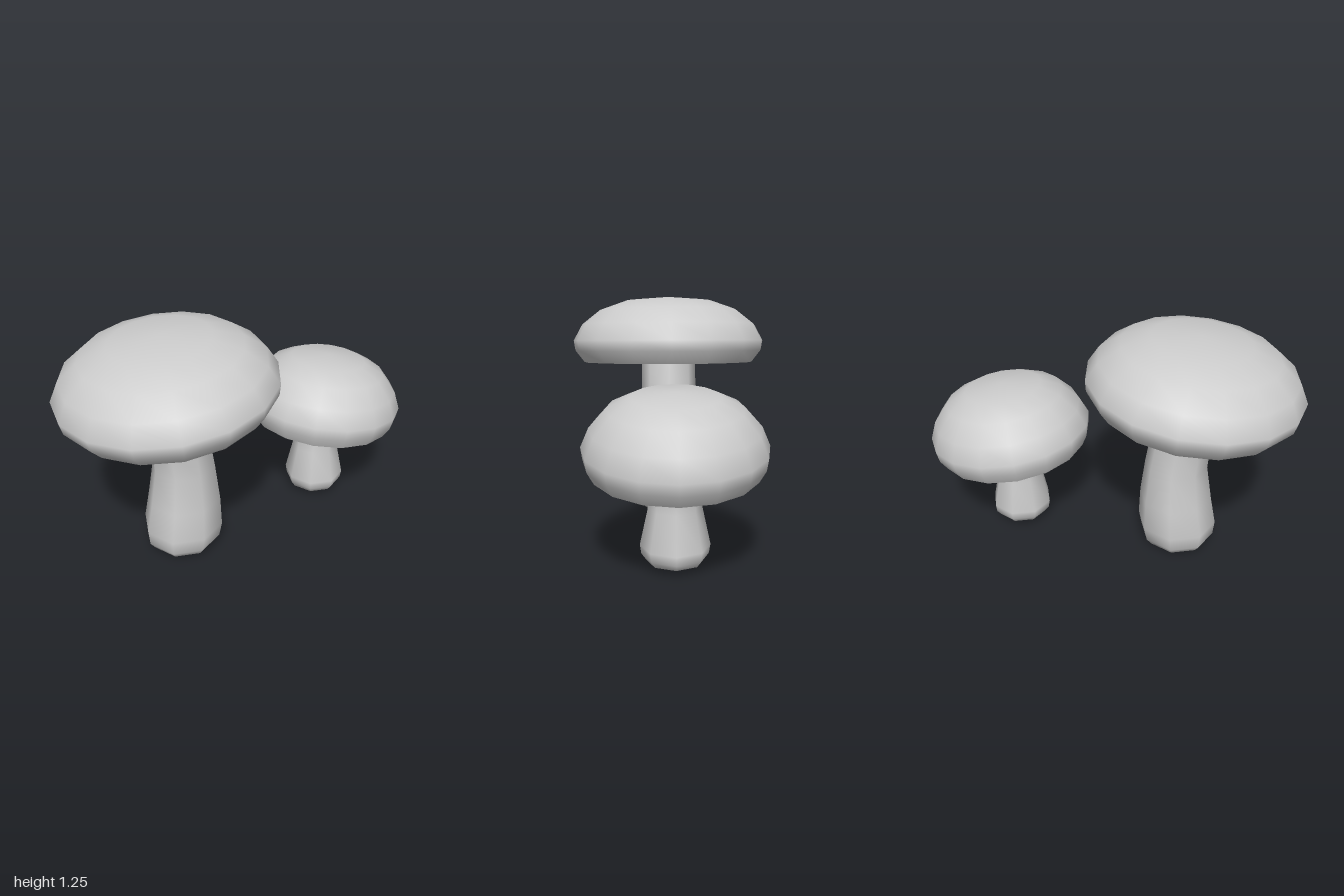
import * as THREE from 'three';
import { mergeVertices } from 'three/addons/utils/BufferGeometryUtils.js';

const light = new THREE.MeshStandardMaterial({ color: 0xcccccc });
light.name = 'pale grey';
const dark = new THREE.MeshStandardMaterial({ color: 0x2b2b2b });
dark.name = 'dark gills';

// Turned shape; optional third value of a point shifts that ring sideways.
function turned(name, points, sides, material) {
  let geo = new THREE.LatheGeometry(points.map(([r, y]) => new THREE.Vector2(r, y)), sides);
  const pos = geo.attributes.position;
  for (let i = 0; i < pos.count; i++) {
    pos.setX(i, pos.getX(i) + (points[i % points.length][2] || 0));
  }
  geo.deleteAttribute('uv');
  geo.deleteAttribute('normal');
  geo = mergeVertices(geo, 1e-4);
  geo.computeVertexNormals();
  const mesh = new THREE.Mesh(geo, material);
  mesh.name = name;
  return mesh;
}

function mushroom(name, { stem, cap, gills, x, y, tilt }) {
  const group = new THREE.Group();
  group.name = name;
  group.add(turned('stem', stem, 8, light));

  // Tilted cap with its separate underside
  const head = new THREE.Group();
  head.name = 'cap';
  head.position.set(x, y, 0);
  head.rotation.z = THREE.MathUtils.degToRad(tilt);
  head.add(turned('capTop', cap, 16, light), turned('gills', gills, 16, dark));
  group.add(head);
  return group;
}

export function createModel() {
  const model = new THREE.Group();
  model.name = 'mushrooms';

  model.add(mushroom('largeMushroom', {
    x: -0.435, y: 0.877, tilt: 5.5,
    // radius, height, sideways centre
    stem: [[0, 0.003, -0.4], [0.13, 0.005, -0.4], [0.175, 0.02, -0.4], [0.204, 0.06, -0.4],
      [0.216, 0.14, -0.395], [0.197, 0.3, -0.381], [0.168, 0.5, -0.375], [0.159, 0.68, -0.394],
      [0.157, 0.87, -0.437], [0.15, 0.94, -0.44]],
    cap: [[0.495, 0], [0.547, 0.067], [0.557, 0.125], [0.505, 0.22], [0.4, 0.303], [0.252, 0.355], [0, 0.378]],
    gills: [[0, -0.008], [0.17, -0.008], [0.3, 0.03], [0.44, 0.025], [0.495, 0]],
  }));

  model.add(mushroom('smallMushroom', {
    x: 0.545, y: 0.4875, tilt: -6.85,
    stem: [[0, 0.024, 0.525], [0.1, 0.025, 0.525], [0.14, 0.038, 0.525], [0.163, 0.07, 0.526],
      [0.17, 0.115, 0.525], [0.13, 0.3, 0.524], [0.125, 0.4, 0.532],
      [0.128, 0.5, 0.545], [0.12, 0.56, 0.55]],
    cap: [[0.4, 0], [0.432, 0.06], [0.44, 0.12], [0.4, 0.214], [0.318, 0.307], [0.207, 0.361], [0, 0.382]],
    gills: [[0, -0.008], [0.14, -0.008], [0.24, 0.025], [0.35, 0.02], [0.4, 0]],
  }));

  return model;
}
